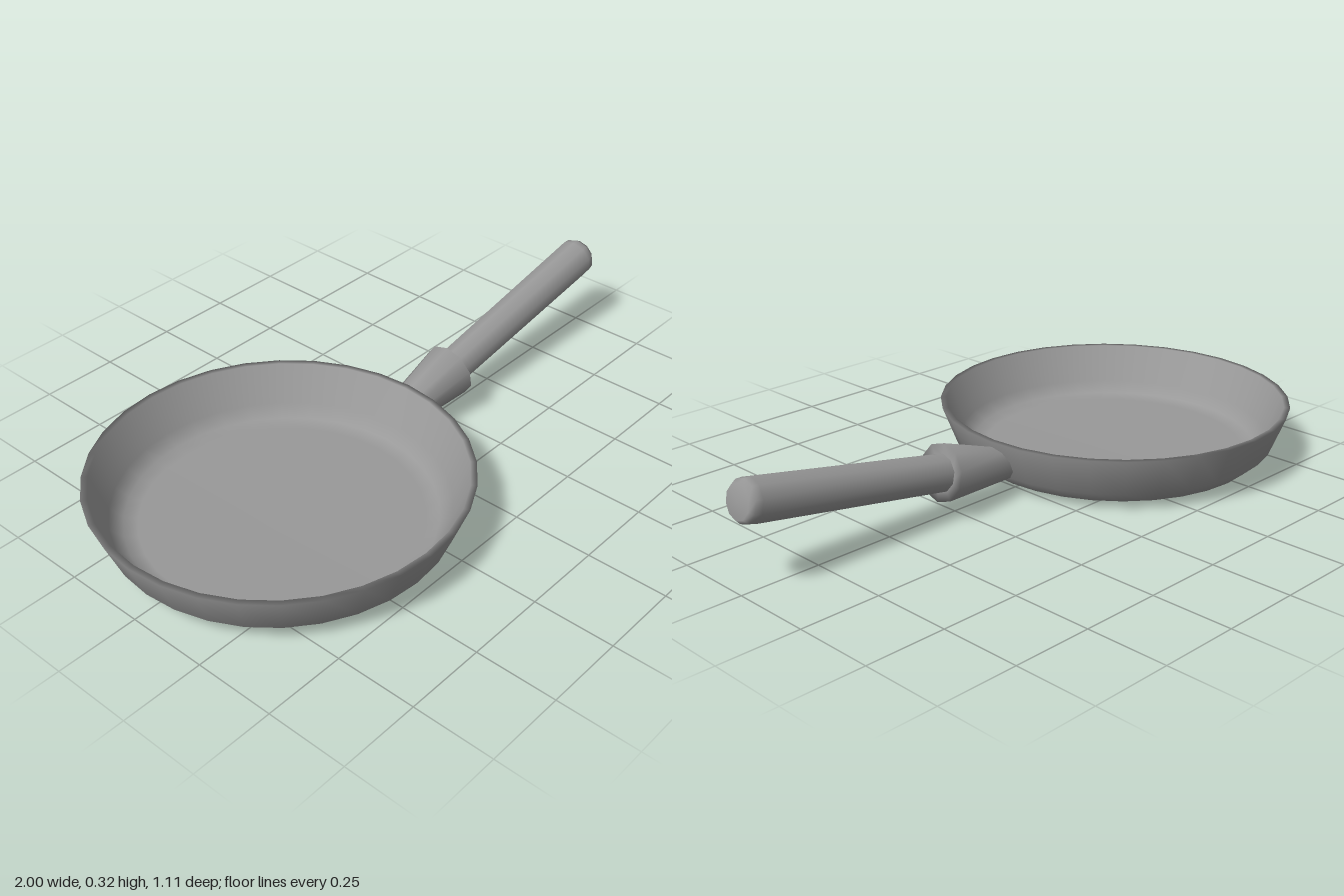
import * as THREE from 'three';

const material = new THREE.MeshStandardMaterial({ color: 0x999999 });
const PAN_X = -0.447;
const TILT = THREE.MathUtils.degToRad(10.3);

// Outer wall, from the base centre up to the rim: [radius, height]
const outer = [[0, 0], [0.42, 0], [0.46, 0.015], [0.505, 0.055], [0.553, 0.177]];
// Inner wall, from the rim down to the cooking surface
const inner = [[0.534, 0.177], [0.488, 0.062], [0.45, 0.03], [0.41, 0.02], [0, 0.02]];

function lathe(points, sides, start = 0) {
  return new THREE.LatheGeometry(points.map(([r, y]) => new THREE.Vector2(r, y)), sides, start);
}

function addMesh(parent, name, geometry) {
  const mesh = new THREE.Mesh(geometry, material);
  mesh.name = name;
  parent.add(mesh);
}

// Ten-sided turned part whose axis rises outward from the collar's end
function turned(points) {
  return lathe(points, 10, Math.PI / 2)
    .rotateZ(TILT - Math.PI / 2)
    .translate(0.302, 0.136, 0);
}

// Radius of the sloping outer wall at a given height
function wallRadius(y) {
  for (let i = 2; i < outer.length; i++) {
    const [r0, y0] = outer[i - 1], [r1, y1] = outer[i];
    if (y <= y1) return r0 + (r1 - r0) * Math.max(0, (y - y0) / (y1 - y0));
  }
  return outer.at(-1)[0];
}

export function createModel() {
  const group = new THREE.Group();
  group.name = 'fryingPan';

  // Shallow flared pan with a thin, softly shaded rim
  addMesh(group, 'pan', lathe([...outer, ...inner], 32).translate(PAN_X, 0, 0));

  // Flared collar: its narrow end is trimmed to meet the pan wall
  const collarPoints = [[0.056, -0.235], [0.088, 0], [0.05, 0]];
  const collar = turned(collarPoints);
  const p = collar.attributes.position;
  for (let i = 0; i < p.count; i += collarPoints.length) {
    const y = p.getY(i) + 0.006;
    const x = PAN_X + Math.sqrt(wallRadius(y) ** 2 - p.getZ(i) ** 2) - 0.008;
    p.setXY(i, x, y);
  }
  addMesh(group, 'collar', collar);

  // Slightly tapered grip with a rounded tip
  const grip = turned([[0.057, -0.02], [0.064, 0.665], [0.061, 0.685], [0.05, 0.7], [0, 0.7]]);
  addMesh(group, 'handle', grip);

  return group;
}
